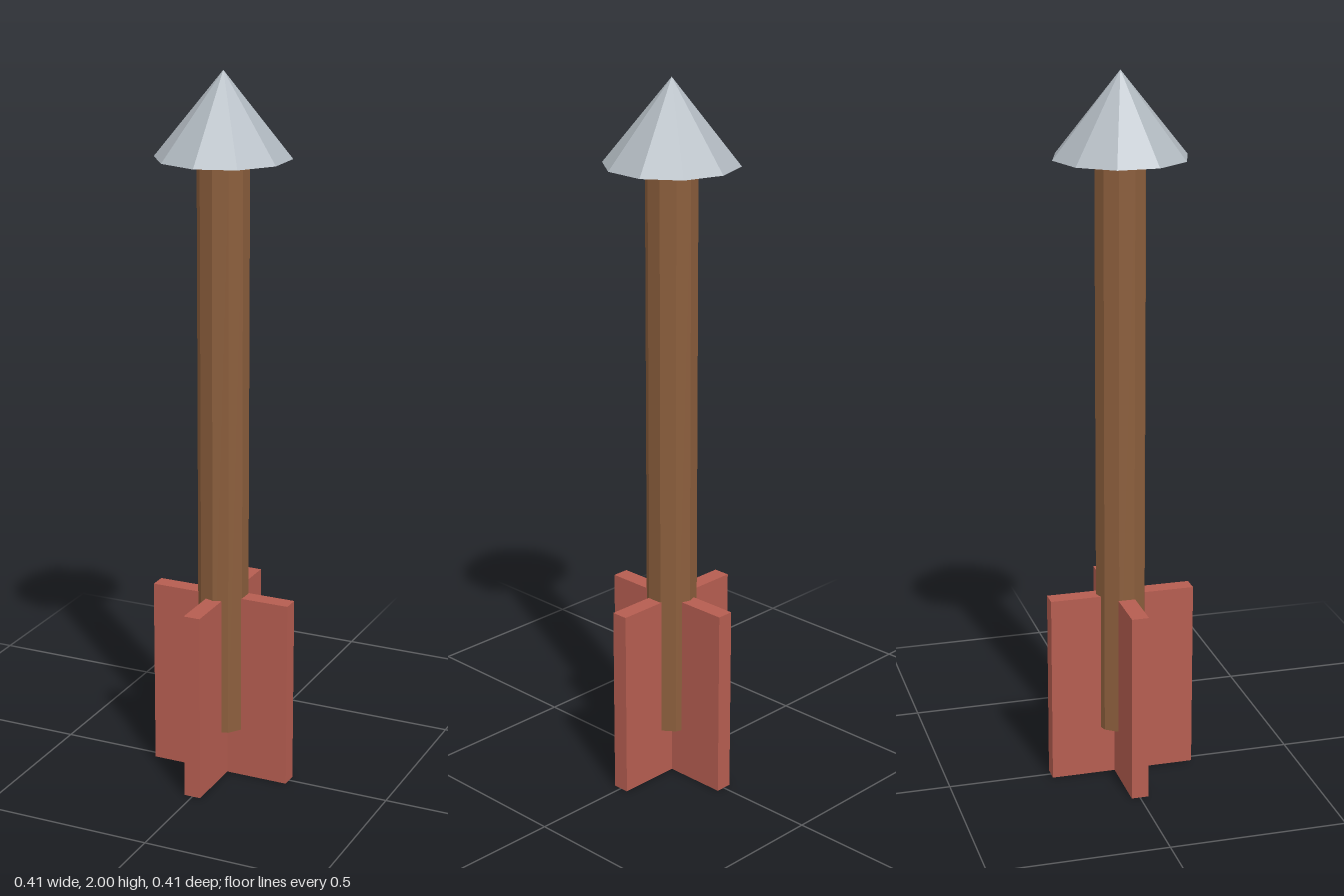
import * as THREE from 'three';

export function createModel() {
  const model = new THREE.Group();
  const material = (name, color) => {
    const m = new THREE.MeshStandardMaterial({ color, flatShading: true });
    m.name = name;
    return m;
  };
  const wood = material('wood brown', 0x8b5e3c);
  const steel = material('steel grey', 0xb0b8bf);
  const red = material('feather red', 0xb55d50);

  const add = (name, geometry, mat, y) => {
    const mesh = new THREE.Mesh(geometry, mat);
    mesh.name = name;
    mesh.position.y = y;
    model.add(mesh);
    return mesh;
  };

  // Ten-sided shaft and pointed head
  add('shaft', new THREE.CylinderGeometry(0.071, 0.071, 1.63, 10), wood, 0.955);
  add('arrowHead', new THREE.ConeGeometry(0.185, 0.23, 10), steel, 1.885);

  // Two crossed plates form the four tail fins
  for (let i = 0; i < 2; i++) {
    const fin = add(i ? 'finPairFrontBack' : 'finPairLeftRight',
      new THREE.BoxGeometry(0.412, 0.54, 0.048), red, 0.27);
    fin.rotation.y = i * Math.PI / 2;
  }
  return model;
}
